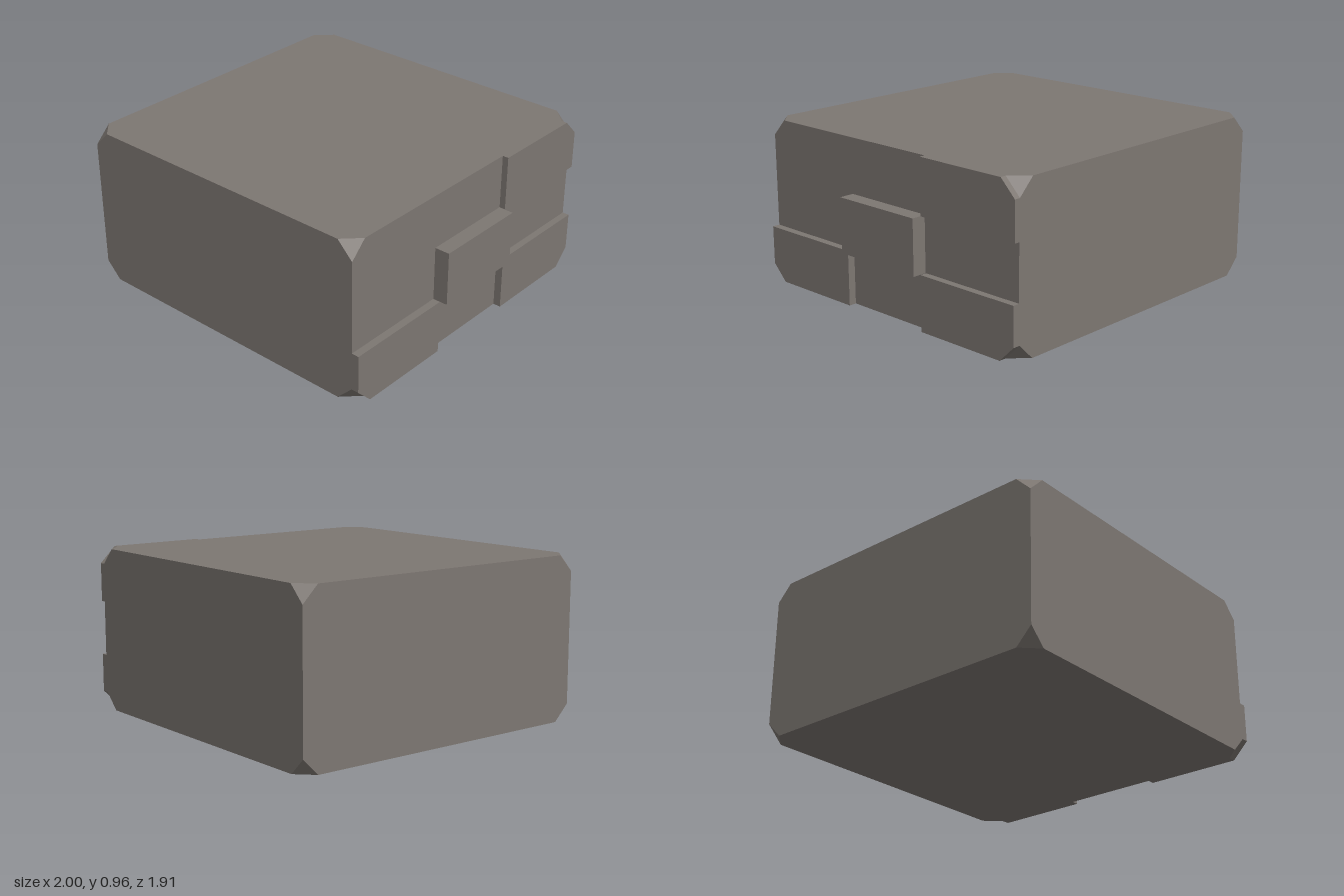
import * as THREE from 'three';
import { ConvexGeometry } from 'three/addons/geometries/ConvexGeometry.js';

const X0 = -1, X1 = 0.91, H = 0.96, Z = 0.957, CUT = 0.095;

// Box with its eight corners sliced off
function blockGeometry() {
  const points = [];
  for (const x of [X0, X1]) for (const y of [0, H]) for (const z of [-Z, Z]) {
    points.push(
      new THREE.Vector3(x - Math.sign(x) * CUT, y, z),
      new THREE.Vector3(x, y === 0 ? CUT : H - CUT, z),
      new THREE.Vector3(x, y, z - Math.sign(z) * CUT));
  }
  return new ConvexGeometry(points);
}

// Raised slab on the +x face; an outer corner follows the block's corner cut
function slabGeometry(z0, z1, y0, y1, depth) {
  const shape = new THREE.Shape();
  const corners = [[-z1, y0], [-z0, y0], [-z0, y1], [-z1, y1]];
  const points = [];
  corners.forEach(([u, v], i) => {
    const atCorner = Math.abs(u) === Z && (v === 0 || v === H);
    if (!atCorner) return points.push(new THREE.Vector2(u, v));
    const alongU = new THREE.Vector2(u - Math.sign(u) * CUT, v);
    const alongV = new THREE.Vector2(u, v === 0 ? CUT : H - CUT);
    // keep the outline counter-clockwise
    if (i % 2 === 0) points.push(alongV, alongU);
    else points.push(alongU, alongV);
  });
  shape.setFromPoints(points);
  const geometry = new THREE.ExtrudeGeometry(shape, { depth, bevelEnabled: false });
  return geometry.rotateY(Math.PI / 2).translate(X1, 0, 0);
}

export function createModel() {
  const group = new THREE.Group();
  group.name = 'stoneBlock';
  const stone = new THREE.MeshStandardMaterial({ color: 0x7d7772 });
  stone.name = 'greyStone';

  const add = (name, geometry) => {
    const mesh = new THREE.Mesh(geometry, stone);
    mesh.name = name;
    group.add(mesh);
  };

  add('block', blockGeometry());

  // Uneven slabs: name, z range, y range, depth
  const slabs = [
    ['centreSlab', -0.287, 0.287, 0.32, 0.64, 0.09],
    ['lowerFrontSlab', 0.29, Z, 0, 0.32, 0.045],
    ['lowerBackSlab', -Z, -0.29, 0, 0.32, 0.045],
    ['middleBackSlab', -Z, -0.287, 0.32, 0.64, 0.004],
    ['upperBackSlab', -Z, -0.29, 0.64, H, 0.036],
  ];
  for (const [name, ...size] of slabs) add(name, slabGeometry(...size));

  return group;
}
